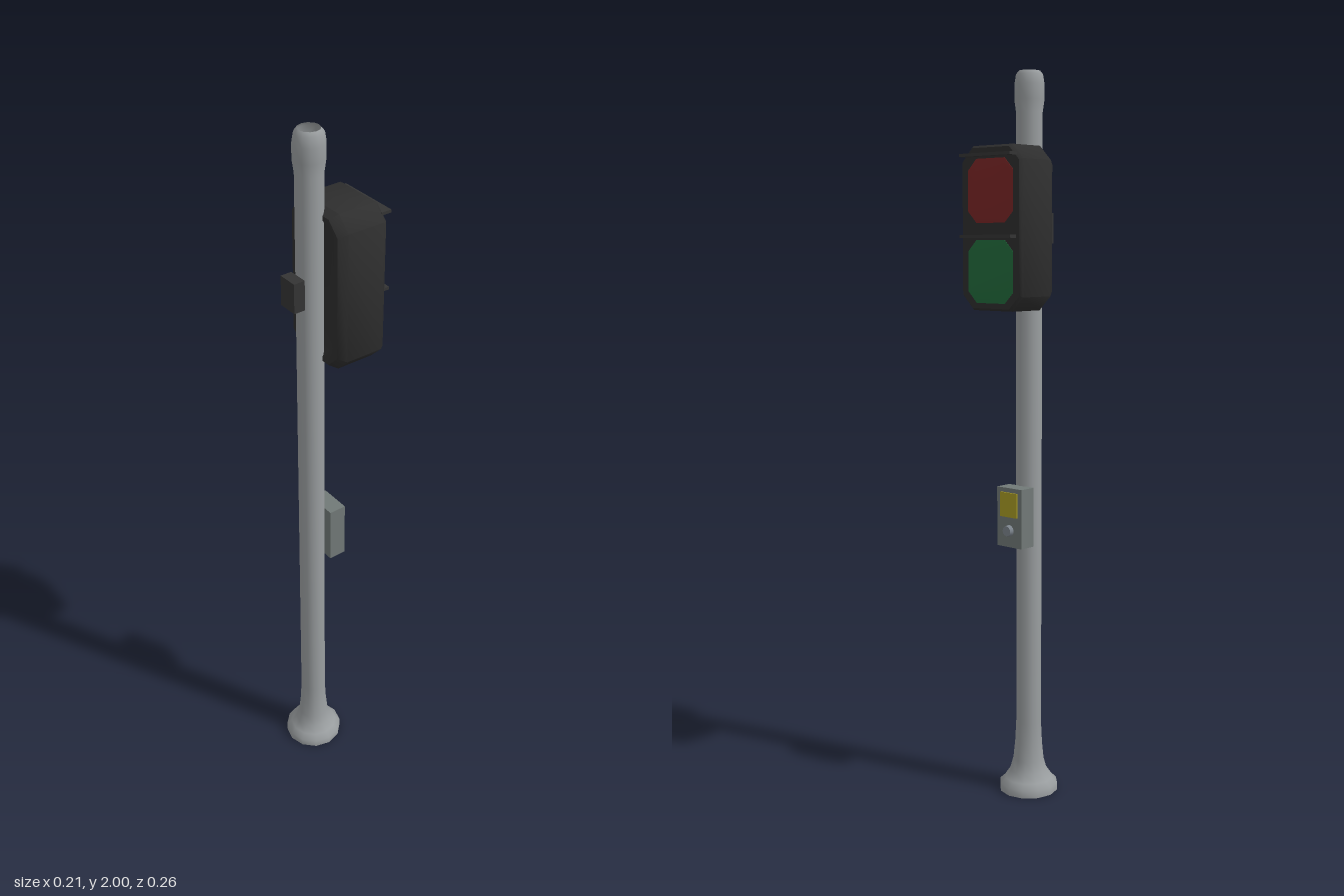
import * as THREE from 'three';
import { toCreasedNormals } from 'three/addons/utils/BufferGeometryUtils.js';

const mat = (name, color, side = THREE.FrontSide) => {
  const m = new THREE.MeshStandardMaterial({ color, side });
  m.name = name;
  return m;
};

// Rectangle with cut corners, counter-clockwise seen from +z
function octagon(w, h, c) {
  return [[w, -h + c], [w, h - c], [w - c, h], [-w + c, h],
    [-w, h - c], [-w, -h + c], [-w + c, -h], [w - c, -h]];
}

// Skin a row of octagons [z, halfWidth, halfHeight, cut], running from +z to -z
function loft(sections) {
  const pos = [], idx = [], n = 8;
  for (const [z, w, h, c] of sections) for (const [x, y] of octagon(w, h, c)) pos.push(x, y, z);
  for (let s = 0; s < sections.length - 1; s++) {
    for (let i = 0; i < n; i++) {
      const a = s * n + i, b = s * n + (i + 1) % n;
      idx.push(a, a + n, b, b, a + n, b + n);
    }
  }
  const last = (sections.length - 1) * n;
  for (let i = 1; i < n - 1; i++) idx.push(0, i, i + 1, last, last + i + 1, last + i);
  const g = new THREE.BufferGeometry();
  g.setAttribute('position', new THREE.Float32BufferAttribute(pos, 3));
  g.setIndex(idx);
  return toCreasedNormals(g, 0.87);
}

export function createModel() {
  const model = new THREE.Group();
  model.name = 'pedestrianSignal';

  const steel = mat('poleGrey', 0x9a9ea0, THREE.DoubleSide);
  const black = mat('housingBlack', 0x2e2e2e);
  const dark = mat('bracketBlack', 0x343434);
  const red = mat('lensRed', 0x7a2626);
  const green = mat('lensGreen', 0x226b3c);
  const boxGrey = mat('boxGrey', 0x717977);
  const yellow = mat('panelYellow', 0xa89a24);
  const button = mat('buttonGrey', 0x7c848c);

  const add = (name, geo, material, x, y, z, parent = model) => {
    const m = new THREE.Mesh(geo, material);
    m.name = name;
    m.position.set(x, y, z);
    parent.add(m);
    return m;
  };
  const box = (name, w, h, d, material, x, y, z, parent) =>
    add(name, new THREE.BoxGeometry(w, h, d), material, x, y, z, parent);

  // Hollow pole with flared foot and swollen open tip
  const profile = [[0.083, 0], [0.083, 0.022], [0.068, 0.036], [0.053, 0.058], [0.044, 0.09],
    [0.039, 0.14], [0.036, 0.2], [0.036, 1.89], [0.041, 1.925], [0.041, 1.965],
    [0.037, 1.99], [0.029, 2]].map(p => new THREE.Vector2(...p));
  add('pole', new THREE.LatheGeometry(profile, 12), steel, 0, 0, 0.046);

  // Signal head
  const head = new THREE.Group();
  head.name = 'signalHead';
  head.position.y = 1.585;
  model.add(head);
  add('housing', loft([
    [0.024, 0.066, 0.18, 0.03],
    [0.032, 0.074, 0.19, 0.032],
    [0.032, 0.093, 0.202, 0.036],
    [0.010, 0.107, 0.215, 0.038],
    [-0.098, 0.107, 0.215, 0.038],
    [-0.107, 0.101, 0.209, 0.036],
  ]), black, 0, 0, 0, head);

  // Lenses, each under its own visor
  [['redLens', red, 0.098], ['greenLens', green, -0.112]].forEach(([name, material, y]) => {
    add(name, loft([
      [-0.104, 0.08, 0.083, 0.03],
      [-0.108, 0.08, 0.083, 0.03],
      [-0.110, 0.07, 0.073, 0.026],
    ]), material, 0, y, 0, head);
    box('visor', 0.18, 0.008, 0.029, dark, 0, y + 0.092, -0.1165, head);
  });

  // Clamp in front of the pole and lug reaching into it
  box('clamp', 0.056, 0.082, 0.032, dark, 0, 1.587, 0.098);
  box('lug', 0.042, 0.082, 0.04, dark, 0, 1.587, 0.038);

  // Push-button box
  const call = new THREE.Group();
  call.name = 'callBox';
  call.position.set(0, 0.802, -0.01);
  model.add(call);
  box('callBoxBody', 0.09, 0.165, 0.05, boxGrey, 0, 0, 0, call);
  box('callPanel', 0.06, 0.068, 0.006, yellow, 0, 0.036, -0.0265, call);
  const knob = new THREE.CylinderGeometry(0.014, 0.016, 0.012, 12).rotateX(-Math.PI / 2);
  add('callButton', knob, button, 0, -0.036, -0.031, call);

  return model;
}
